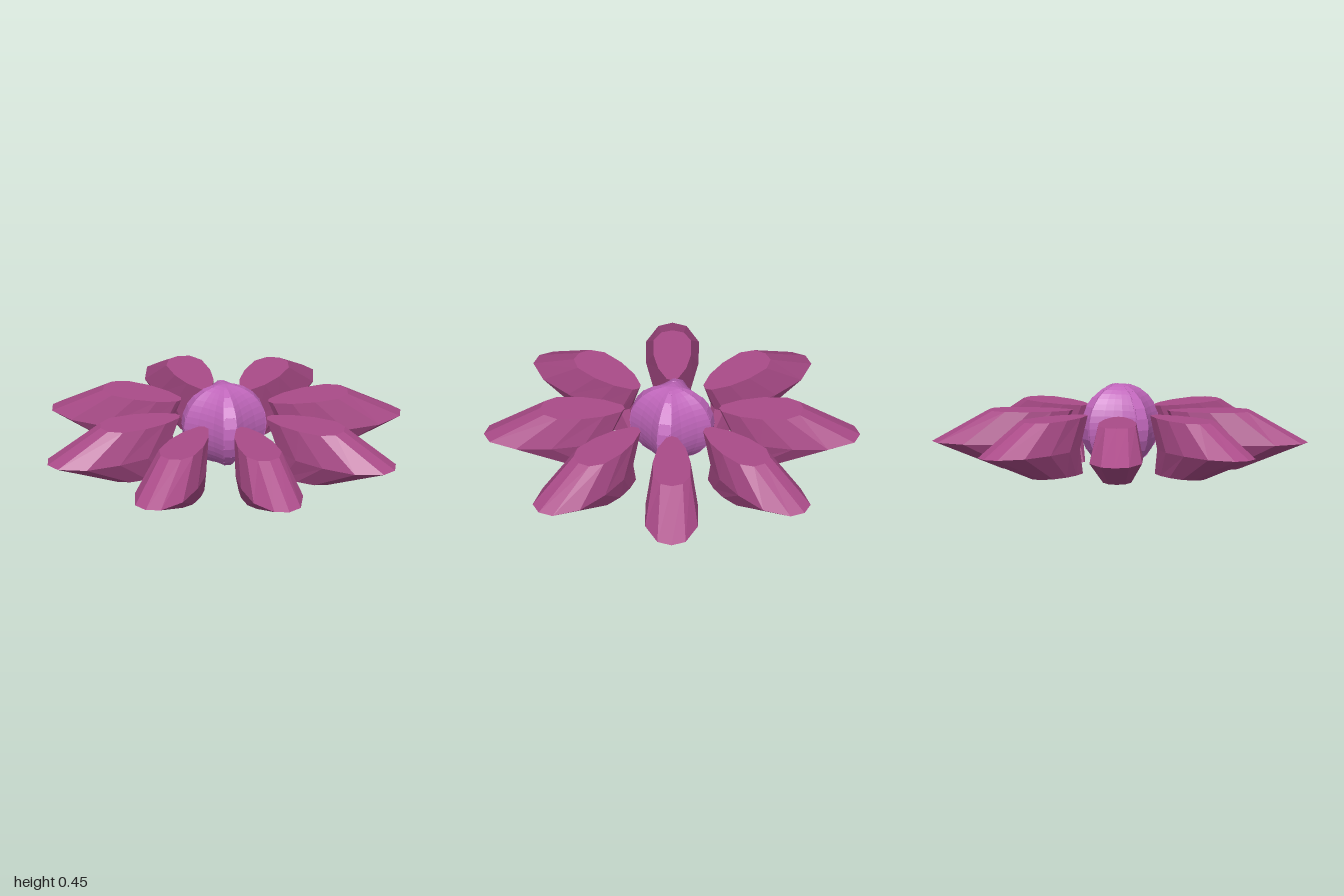
import * as THREE from 'three';

const rad = THREE.MathUtils.degToRad;

// Skin a stack of equal-length rings (bottom to top, anticlockwise from above).
function loft(rings) {
  const pos = [];
  const tri = (a, b, c) => pos.push(...a, ...b, ...c);
  const n = rings[0].length;
  for (let k = 0; k < rings.length - 1; k++) {
    const lo = rings[k], hi = rings[k + 1];
    for (let i = 0; i < n; i++) {
      const j = (i + 1) % n;
      tri(lo[i], lo[j], hi[j]);
      tri(lo[i], hi[j], hi[i]);
    }
  }
  const bottom = rings[0], top = rings[rings.length - 1];
  for (let i = 1; i < n - 1; i++) {
    tri(bottom[0], bottom[i + 1], bottom[i]);
    tri(top[0], top[i], top[i + 1]);
  }
  const g = new THREE.BufferGeometry();
  g.setAttribute('position', new THREE.Float32BufferAttribute(pos, 3));
  g.computeVertexNormals();
  return g;
}

// Mirror half an outline of [distance, half width] into a closed ring.
function petalRing(y, half) {
  const side = half.map(([x, w]) => [x, y, -w]);
  const other = half.slice(1, -1).reverse().map(([x, w]) => [x, y, w]);
  return [...side, ...other];
}

// Point on the lobed centre ball: longitude, polar angle and radius factor.
const R = 0.226, CY = 0.226, CREST = 34;
function ballPoint(lon, polar, f, lift = 0) {
  const a = rad(lon), p = rad(polar), r = (R * f + lift) * Math.sin(p);
  return [r * Math.cos(a), CY + (R + lift * 0.3) * Math.cos(p), -r * Math.sin(a)];
}

export function createModel() {
  const model = new THREE.Group();
  model.name = 'flower';
  const petalMat = new THREE.MeshStandardMaterial({ color: 0xaa4b88, flatShading: true });
  petalMat.name = 'petal magenta';
  const centreMat = new THREE.MeshStandardMaterial({ color: 0xc066bb, flatShading: true });
  centreMat.name = 'centre orchid';

  // Petals: faceted wedges, flat above and below, widest at the middle ring
  const petalGeo = loft([
    petalRing(0, [[0.64, 0], [0.62, 0.045], [0.56, 0.075], [0.46, 0.075], [0.37, 0.055], [0.29, 0.02], [0.28, 0]]),
    petalRing(0.14, [[1, 0], [0.97, 0.075], [0.83, 0.14], [0.64, 0.14], [0.47, 0.11], [0.34, 0.05], [0.32, 0]]),
    petalRing(0.31, [[0.7, 0], [0.68, 0.06], [0.61, 0.1], [0.48, 0.1], [0.36, 0.075], [0.265, 0.03], [0.25, 0]]),
  ]);
  for (let i = 0; i < 8; i++) {
    const petal = new THREE.Mesh(petalGeo, petalMat);
    petal.name = 'petal';
    petal.rotation.y = i * Math.PI / 4;
    model.add(petal);
  }

  // Centre: ball with four ridges and hollow valleys between them
  const profile = [[-28, 0.78], [-16, 0.89], [-10, 0.98], [10, 0.98], [16, 0.89], [28, 0.78], [45, 0.74]];
  const rings = [];
  for (let k = 0; k <= 20; k++) {
    const polar = 179.5 - k * 179 / 20;
    const ring = [];
    for (let q = 0; q < 4; q++) {
      for (const [d, f] of profile) ring.push(ballPoint(CREST + q * 90 + d, polar, f));
    }
    rings.push(ring);
  }
  const centre = new THREE.Mesh(loft(rings), centreMat);
  centre.name = 'centre';
  model.add(centre);

  // Ridge blocks: a stepped column of raised tiles on every ridge
  for (let q = 0; q < 4; q++) {
    for (let b = 0; b < 10; b++) {
      const w = b % 2 ? 10 : 8;
      const lon = CREST + q * 90;
      const slab = [165 - b * 15, 150 - b * 15].map((polar) => [
        ballPoint(lon - w, polar, 0.97, 0.007),
        ballPoint(lon + w, polar, 0.97, 0.007),
        ballPoint(lon + w, polar, 0.95),
        ballPoint(lon - w, polar, 0.95),
      ]);
      const block = new THREE.Mesh(loft(slab), centreMat);
      block.name = 'ridgeBlock';
      model.add(block);
    }
  }
  return model;
}
